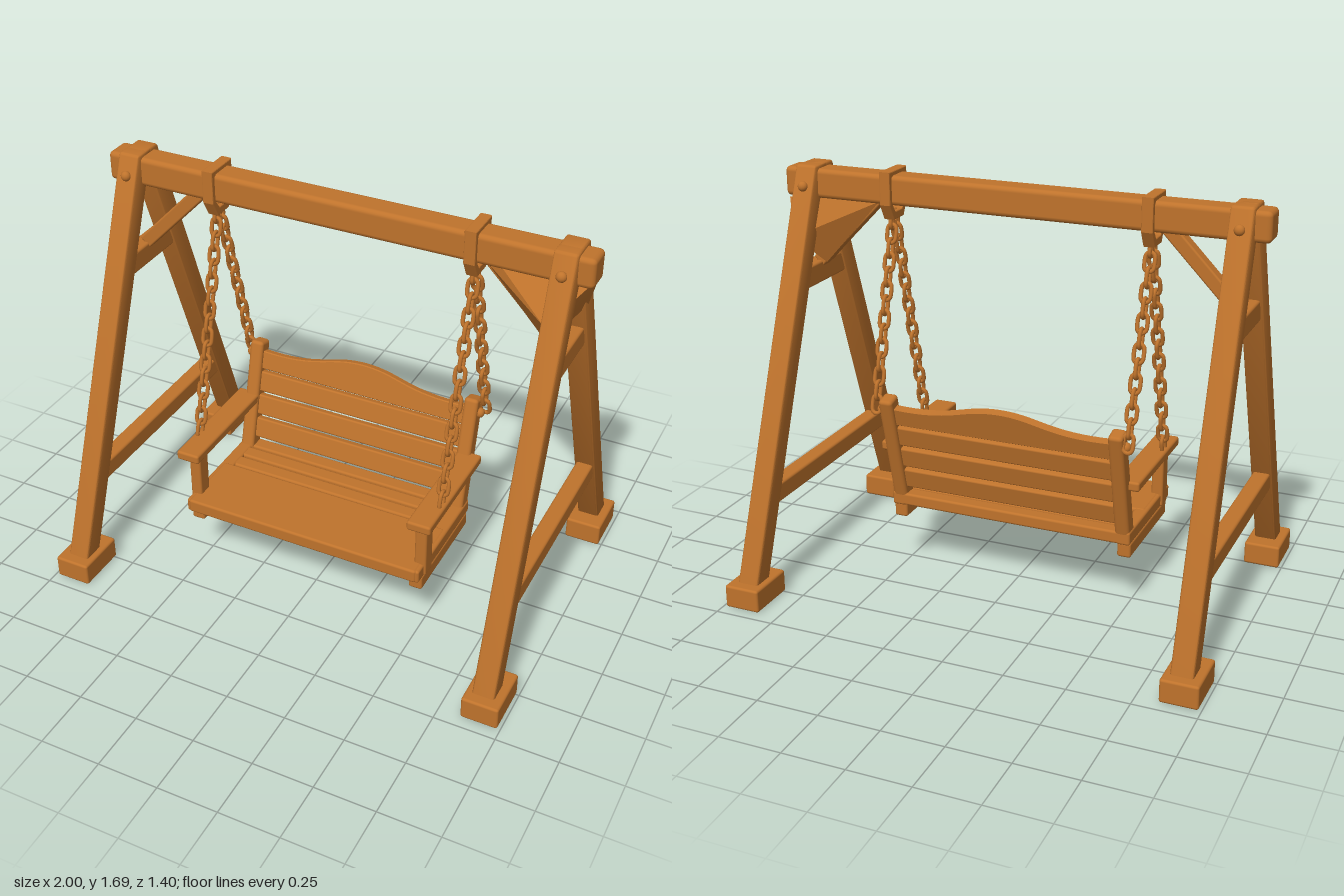
import * as THREE from 'three';
import { toCreasedNormals } from 'three/addons/utils/BufferGeometryUtils.js';
import { RoundedBoxGeometry } from 'three/addons/geometries/RoundedBoxGeometry.js';
import { ConvexGeometry } from 'three/addons/geometries/ConvexGeometry.js';

const V = (x, y, z) => new THREE.Vector3(x, y, z);

export function createModel() {
  const model = new THREE.Group();
  model.name = 'gardenSwing';
  const wood = new THREE.MeshStandardMaterial({ color: 0xbf732c });
  wood.name = 'warm wood';

  const add = (parent, name, geometry) => {
    const mesh = new THREE.Mesh(geometry, wood);
    mesh.name = name;
    parent.add(mesh);
    return mesh;
  };
  // Softly rounded timber given by its minimum and maximum corners
  const timber = (parent, name, a, b, r = 0.01) => {
    const size = b.map((v, i) => v - a[i]);
    const mesh = add(parent, name, new RoundedBoxGeometry(...size, 2, r));
    mesh.position.set(...a.map((v, i) => (v + b[i]) / 2));
    return mesh;
  };
  // Timber between x limits, mirrored to the other side
  const pair = (parent, name, a, b, r) => {
    timber(parent, name, a, b, r);
    timber(parent, name, [-b[0], a[1], a[2]], [-a[0], b[1], b[2]], r);
  };
  const bolt = (x, y, z, axis) => {
    const mesh = add(model, 'bolt', new THREE.SphereGeometry(0.021, 14, 10));
    mesh.position.set(x, y, z);
    mesh.scale[axis] = 0.9;
  };

  // Top beam
  timber(model, 'topBeam', [-1, 1.555, -0.057], [1, 1.675, 0.057], 0.02);

  // A-frames: slanted legs with level ends, feet, bolts and cross bars
  const makeLeg = (sx, sz) => {
    const low = 0.05, high = 1.69;
    const g = new RoundedBoxGeometry(0.09, high - low, 0.096, 2, 0.01);
    g.translate(0, (high + low) / 2, 0);
    const p = g.attributes.position;
    for (let i = 0; i < p.count; i++) {
      const t = (p.getY(i) - low) / (high - low);
      p.setX(i, p.getX(i) + sx * (0.909 - 0.016 * t));
      p.setZ(i, p.getZ(i) + sz * (0.627 - 0.606 * t));
    }
    add(model, 'leg', toCreasedNormals(g, 0.6));
  };
  for (const sx of [-1, 1]) {
    for (const sz of [-1, 1]) {
      makeLeg(sx, sz);
      const foot = add(model, 'foot', new RoundedBoxGeometry(0.15, 0.096, 0.215, 2, 0.01));
      foot.position.set(sx * 0.913, 0.05, sz * 0.595);
      bolt(sx * 0.893, 1.61, sz * 0.1, 'z');
    }
  }
  pair(model, 'lowerCrossBar', [0.87, 0.375, -0.46], [0.94, 0.455, 0.46]);
  pair(model, 'upperCrossBar', [0.86, 1.2, -0.155], [0.93, 1.29, 0.155]);

  // Diagonal braces under the beam
  for (const s of [-1, 1]) {
    const brace = add(model, 'brace', new RoundedBoxGeometry(0.42, 0.056, 0.056, 2, 0.008));
    brace.position.set(s * 0.735, 1.435, 0);
    brace.rotation.z = -s * 0.8;
  }
  // Wide wedge joining one brace to its legs
  add(model, 'braceWedge', toCreasedNormals(new ConvexGeometry([
    V(0.59, 1.56, -0.028), V(0.59, 1.56, 0.028), V(0.66, 1.56, 0.05),
    V(0.84, 1.285, -0.028), V(0.84, 1.285, 0.028), V(0.85, 1.4, 0.11),
    V(0.94, 1.4, -0.11), V(0.985, 1.55, -0.05),
  ]), 0.4));

  // Seat: wide front board, rear slats and bearers
  const seat = new THREE.Group();
  seat.name = 'seat';
  model.add(seat);
  timber(seat, 'frontSeatBoard', [-0.51, 0.297, 0.105], [0.51, 0.355, 0.4]);
  for (let i = 0; i < 3; i++) {
    const z = -0.12 + i * 0.075;
    timber(seat, 'seatSlat', [-0.51, 0.297, z], [0.51, 0.35, z + 0.064]);
  }
  pair(seat, 'seatSideRail', [0.465, 0.295, -0.12], [0.522, 0.353, 0.395]);
  pair(seat, 'seatBearer', [0.465, 0.235, -0.105], [0.522, 0.298, 0.36]);
  pair(seat, 'armPost', [0.48, 0.297, 0.277], [0.53, 0.55, 0.345]);
  pair(seat, 'armRest', [0.46, 0.54, -0.135], [0.56, 0.58, 0.388]);

  // Leaning back with an arched top slat
  const back = new THREE.Group();
  back.name = 'seatBack';
  back.position.set(0, 0.3, -0.072);
  back.rotation.x = -0.25;
  seat.add(back);
  pair(back, 'backPost', [0.458, 0, -0.036], [0.518, 0.52, 0.036], 0.015);
  for (let i = 0; i < 3; i++) {
    const y = 0.085 + i * 0.106;
    timber(back, 'backSlat', [-0.47, y, -0.018], [0.47, y + 0.09, 0.018], 0.008);
  }
  const arch = new THREE.Shape();
  arch.moveTo(-0.46, 0.403);
  arch.lineTo(0.46, 0.403);
  arch.lineTo(0.46, 0.475);
  arch.bezierCurveTo(0.2, 0.46, 0.16, 0.53, 0, 0.53);
  arch.bezierCurveTo(-0.16, 0.53, -0.2, 0.46, -0.46, 0.475);
  arch.closePath();
  const archGeometry = new THREE.ExtrudeGeometry(arch, {
    depth: 0.028, bevelThickness: 0.004, bevelSize: 0.004, bevelSegments: 1, curveSegments: 16,
  });
  archGeometry.translate(0, 0, -0.014);
  add(back, 'archedTopSlat', toCreasedNormals(archGeometry, 0.5));

  // Straps around the beam, tapering to a hook below
  const outline = (w, top, low) => [
    [-w, top], [-w, 1.56], [-0.55 * w, low], [0.55 * w, low], [w, 1.56], [w, top],
  ].map(([x, y]) => new THREE.Vector2(x, y));
  const strap = new THREE.Shape(outline(0.072, 1.688, 1.5));
  strap.holes.push(new THREE.Path(outline(0.054, 1.67, 1.525)));
  const strapGeometry = new THREE.ExtrudeGeometry(strap, {
    depth: 0.036, bevelThickness: 0.005, bevelSize: 0.004, bevelSegments: 2,
  });
  strapGeometry.translate(0, 0, -0.018);
  strapGeometry.rotateY(Math.PI / 2);

  // One oval chain link, upright in its own plane
  const linkPoints = [];
  for (let i = 0; i < 16; i++) {
    const a = (i + 0.5) / 16 * Math.PI * 2;
    linkPoints.push(V(Math.cos(a) * 0.019, Math.sin(a) * 0.019 + Math.sign(Math.sin(a)) * 0.018, 0));
  }
  const linkGeometry = new THREE.TubeGeometry(
    new THREE.CatmullRomCurve3(linkPoints, true), 28, 0.0085, 7, true);

  const hangChain = (from, to, name) => {
    const chain = new THREE.Group();
    chain.name = name;
    chain.position.copy(from);
    const run = to.clone().sub(from);
    chain.quaternion.setFromUnitVectors(V(0, -1, 0), run.clone().normalize());
    const count = Math.round(run.length() / 0.057);
    for (let i = 0; i <= count; i++) {
      const link = add(chain, 'chainLink', linkGeometry);
      link.position.y = -run.length() * i / count;
      link.rotation.y = i % 2 ? 0 : Math.PI / 2;
    }
    model.add(chain);
  };
  for (const s of [-1, 1]) {
    add(model, 'beamStrap', strapGeometry).position.x = s * 0.54;
    hangChain(V(s * 0.54, 1.49, 0.01), V(s * 0.54, 0.6, 0.23), 'frontChain');
    hangChain(V(s * 0.54, 1.49, -0.01), V(s * 0.535, 0.77, -0.205), 'rearChain');
    bolt(s * 0.522, 0.745, -0.187, 'x');
  }
  return model;
}
